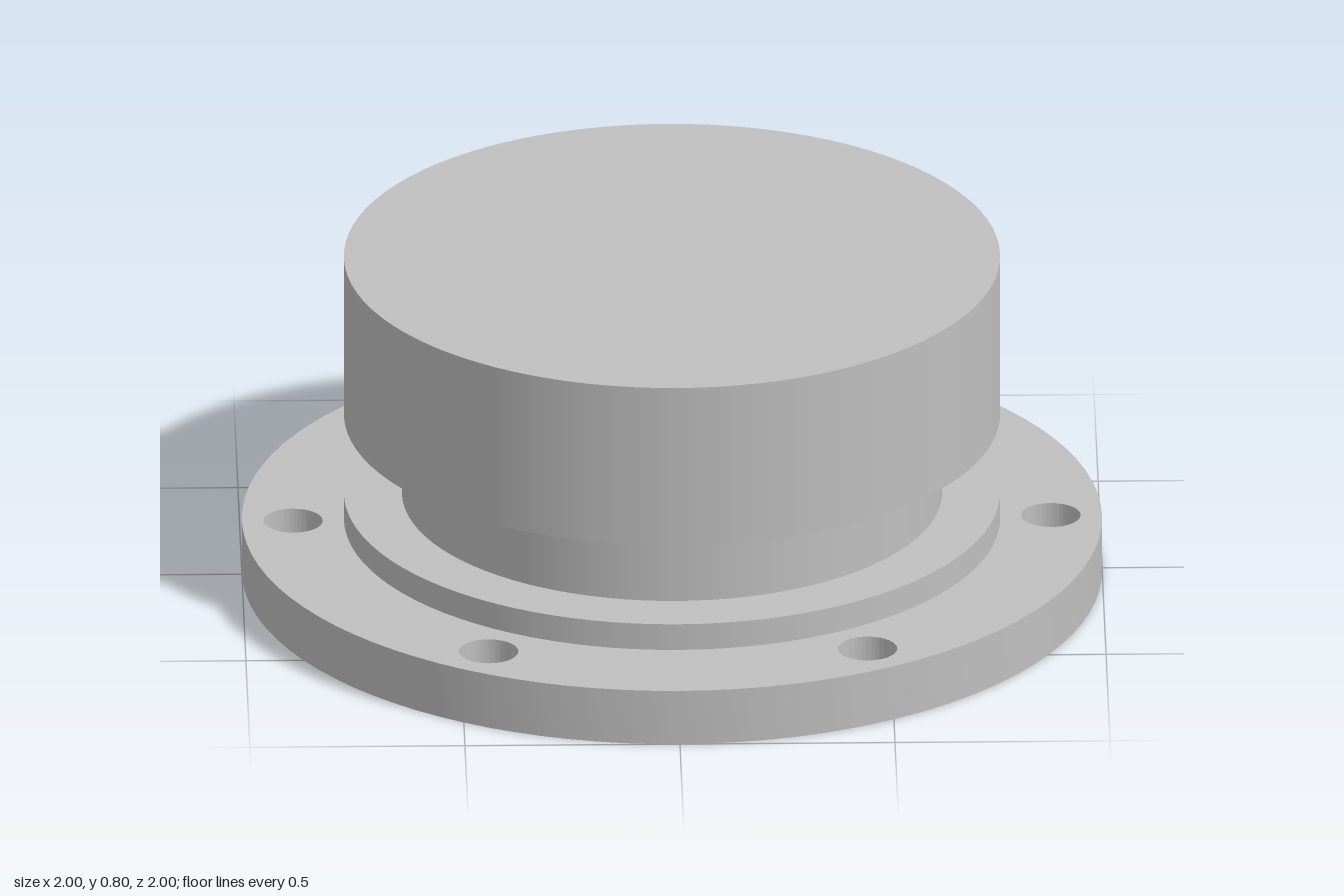
import * as THREE from 'three';
import { mergeGeometries, toCreasedNormals } from 'three/addons/utils/BufferGeometryUtils.js';

const FLANGE_TOP = 0.135, BORE_RADIUS = 0.567, BORE_TOP = 0.73;

// Revolves each profile edge on its own, so corners stay sharp and walls smooth
function turned(profile) {
  const pts = profile.map(([r, y]) => new THREE.Vector2(r, y));
  return mergeGeometries(
    pts.slice(1).map((p, i) => new THREE.LatheGeometry([pts[i], p], 96))
  );
}

function circle(PathType, x, y, r) {
  const path = new PathType();
  path.absarc(x, y, r, 0, Math.PI * 2, false);
  return path;
}

export function createModel() {
  const group = new THREE.Group();
  const metal = new THREE.MeshStandardMaterial({ color: 0xbfbfbf });
  metal.name = 'grey metal';

  const add = (name, geometry) => {
    const mesh = new THREE.Mesh(geometry, metal);
    mesh.name = name;
    group.add(mesh);
  };

  // Base flange with central bore and six bolt holes
  const disc = circle(THREE.Shape, 0, 0, 1);
  disc.holes.push(circle(THREE.Path, 0, 0, BORE_RADIUS));
  for (let i = 0; i < 6; i++) {
    const a = (i * Math.PI) / 3;
    disc.holes.push(circle(THREE.Path, 0.881 * Math.cos(a), 0.881 * Math.sin(a), 0.069));
  }
  const flange = new THREE.ExtrudeGeometry(disc, {
    depth: FLANGE_TOP, bevelEnabled: false, curveSegments: 48,
  });
  flange.rotateX(-Math.PI / 2);
  add('boltFlange', toCreasedNormals(flange, 0.6));

  // Raised collar on the flange
  add('collar', turned([[0.763, FLANGE_TOP], [0.763, 0.2], [0.628, 0.2]]));

  // Recessed neck
  add('neck', turned([[0.628, 0.2], [0.628, 0.4]]));

  // Closed cap
  add('cap', turned([[0.628, 0.4], [0.763, 0.4], [0.763, 0.8], [0, 0.8]]));

  // Blind bore, open at the bottom
  add('bore', turned([[0, BORE_TOP], [BORE_RADIUS, BORE_TOP], [BORE_RADIUS, FLANGE_TOP]]));

  return group;
}
